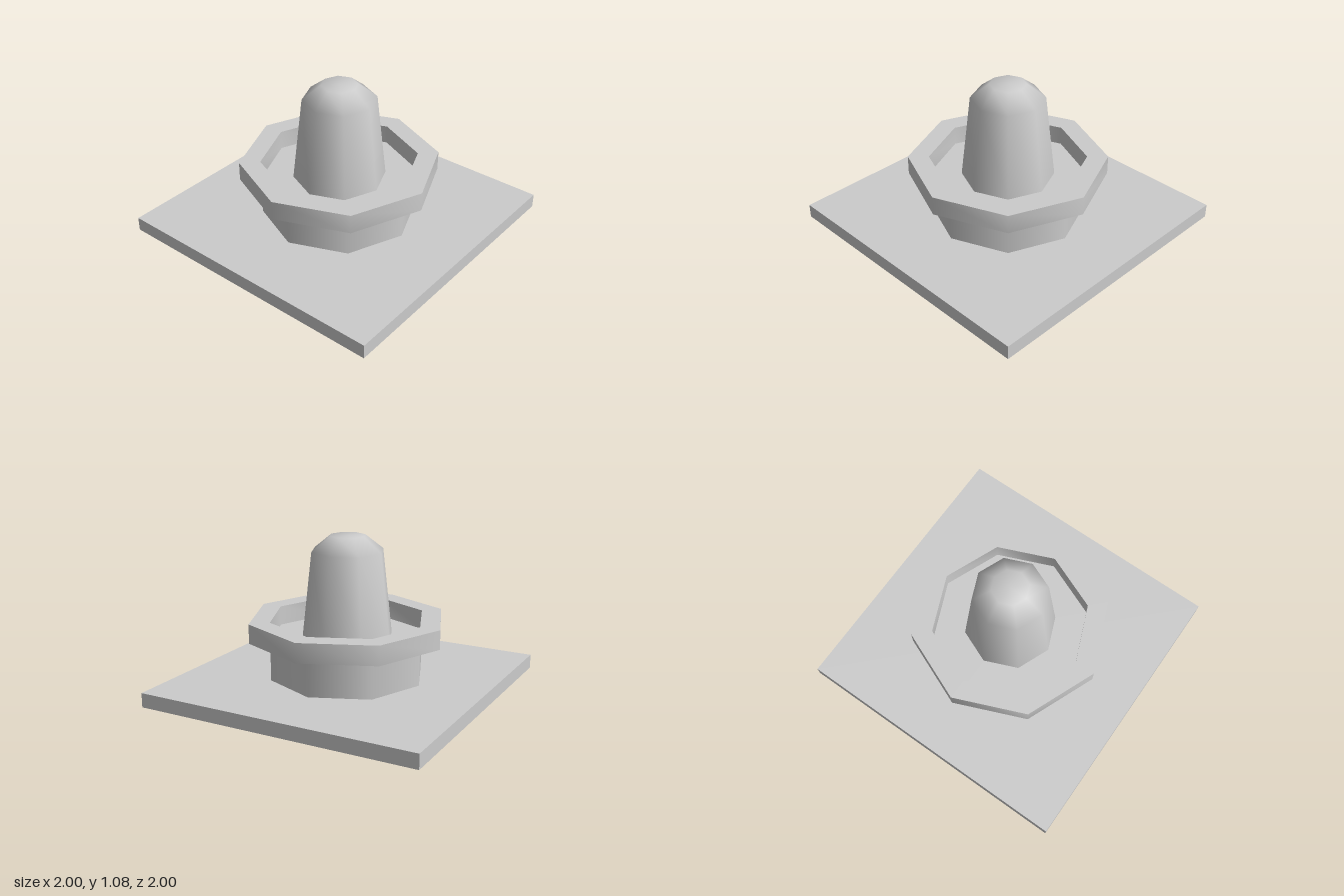
import * as THREE from 'three';
import { toCreasedNormals } from 'three/addons/utils/BufferGeometryUtils.js';

const SIDES = 8;

export function createModel() {
  const model = new THREE.Group();
  const material = new THREE.MeshStandardMaterial({ color: 0xcccccc });

  const add = (name, geometry, y = 0) => {
    const mesh = new THREE.Mesh(geometry, material);
    mesh.name = name;
    mesh.position.y = y;
    model.add(mesh);
  };
  const lathe = (points) =>
    new THREE.LatheGeometry(points.map(([r, y]) => new THREE.Vector2(r, y)), SIDES);

  // Square ground slab
  add('basePlate', new THREE.BoxGeometry(2, 0.1, 2), 0.05);

  // Octagonal drum, its top forming the basin floor
  add('drum', new THREE.CylinderGeometry(0.545, 0.545, 0.275, SIDES), 0.2375);

  // Overhanging rim, open in the middle
  const rim = lathe([
    [0.69, 0.375], [0.69, 0.51], [0.545, 0.51], [0.545, 0.375], [0.69, 0.375],
  ]);
  add('rim', toCreasedNormals(rim, 0.9));

  // Tapered central post with a smooth, bevelled cap
  add('post', lathe([[0.322, 0.375], [0.253, 0.975], [0.125, 1.077], [0, 1.077]]));

  return model;
}
